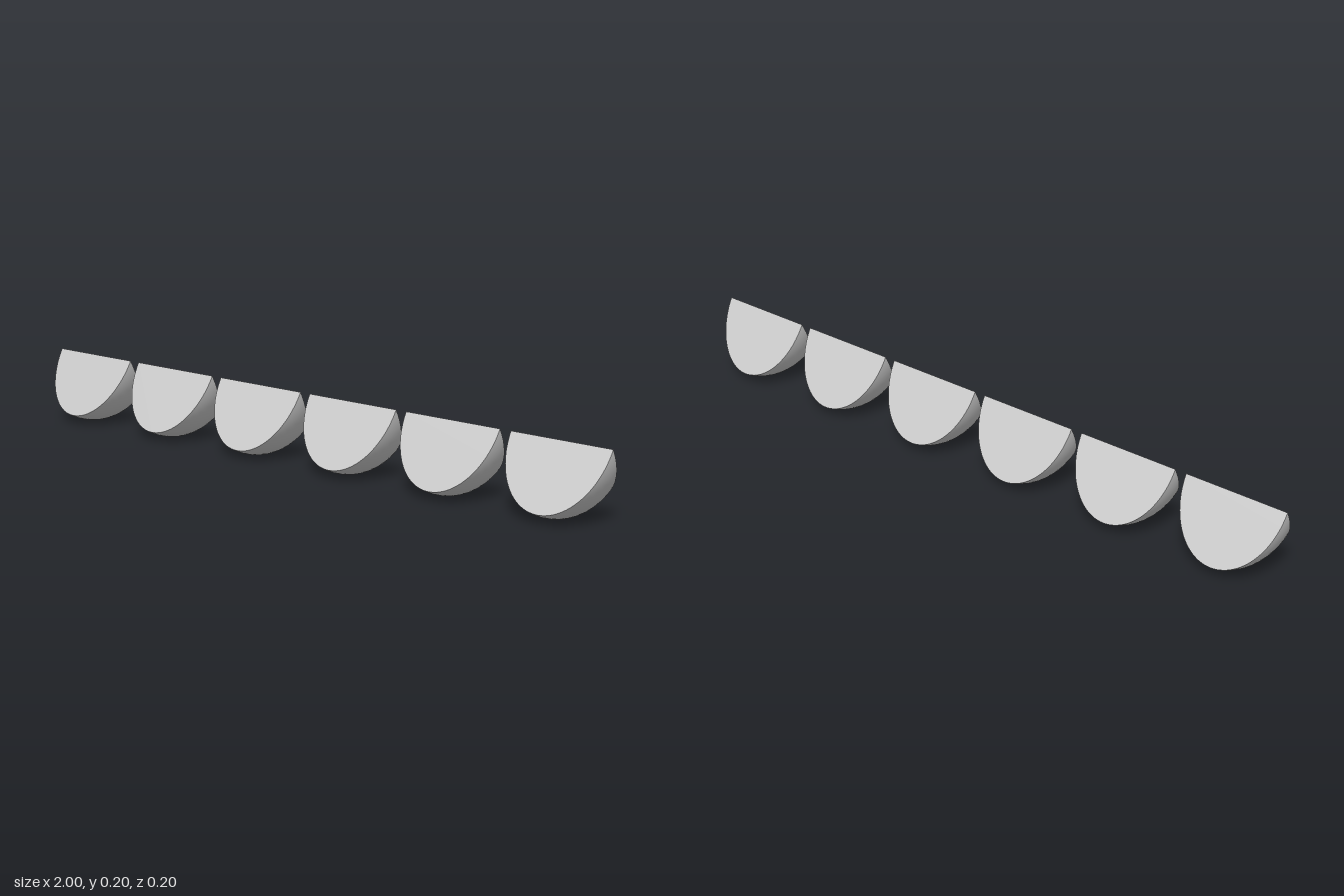
import * as THREE from 'three';

const COUNT = 6, SPACING = 0.339, HALF_LENGTH = 0.1525, RADIUS = 0.2;
const HALF_ANGLE = Math.PI / 6, STEPS = 32;

export function createModel() {
  const model = new THREE.Group();
  model.name = 'rowOfWedges';
  const grey = new THREE.MeshStandardMaterial({ color: 0xcccccc });
  grey.name = 'light grey';

  // Rounded outer skin: a 60 degree slice of an ellipsoid around the x axis
  const profile = [];
  for (let i = 0; i <= STEPS; i++) {
    const a = -Math.PI / 2 + (Math.PI * i) / STEPS;
    profile.push(new THREE.Vector2(Math.max(0, RADIUS * Math.cos(a)), HALF_LENGTH * Math.sin(a)));
  }
  const skin = new THREE.LatheGeometry(profile, 16, -Math.PI / 2 - HALF_ANGLE, 2 * HALF_ANGLE);
  skin.rotateZ(Math.PI / 2);

  // Flat cut face: the lower half of an ellipse, tilted away from the top edge
  const outline = new THREE.Shape();
  outline.absellipse(0, 0, HALF_LENGTH, RADIUS, Math.PI, 2 * Math.PI, false, 0);
  const cut = new THREE.ShapeGeometry(outline, STEPS);
  cut.rotateX(-HALF_ANGLE);
  const backCut = cut.clone().rotateY(Math.PI);

  // Six equal wedges hanging from a common top line
  for (let i = 0; i < COUNT; i++) {
    const wedge = new THREE.Group();
    wedge.name = `wedge${i + 1}`;
    for (const [name, geometry] of [['roundedSkin', skin], ['frontCut', cut], ['backCut', backCut]]) {
      const mesh = new THREE.Mesh(geometry, grey);
      mesh.name = name;
      wedge.add(mesh);
    }
    wedge.position.set((i - (COUNT - 1) / 2) * SPACING, RADIUS, 0);
    model.add(wedge);
  }
  return model;
}
